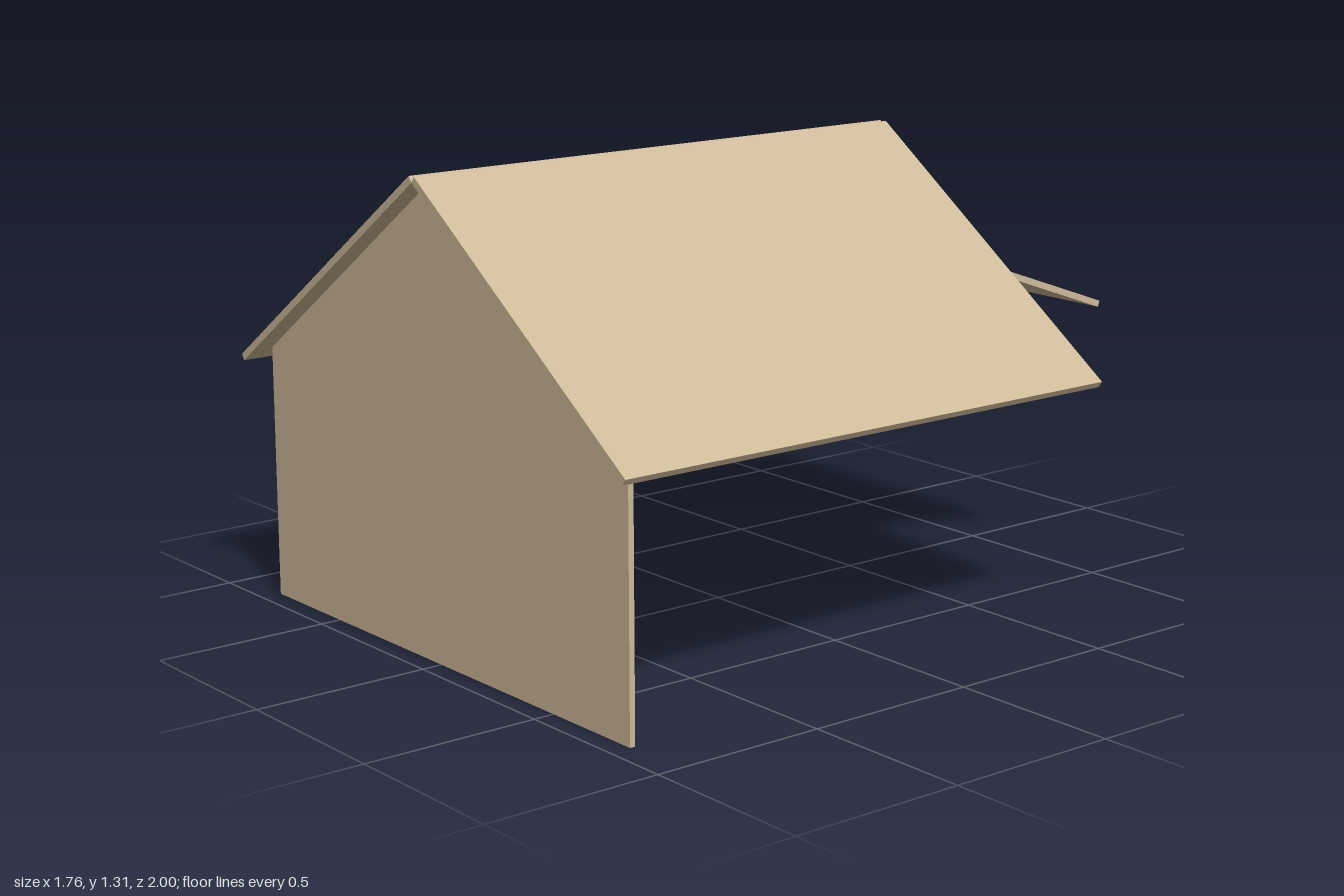
import * as THREE from 'three';

const PITCH = Math.atan2(0.61, 0.87);
const RIDGE = 1.29;      // underside height at the ridge
const THICK = 0.02;      // roof board thickness

// Flat board: outline in x/y, thickness along z
function board(points, depth, material, name) {
  const shape = new THREE.Shape(points.map(([x, y]) => new THREE.Vector2(x, y)));
  const geometry = new THREE.ExtrudeGeometry(shape, { depth, bevelEnabled: false });
  const mesh = new THREE.Mesh(geometry, material);
  mesh.name = name;
  return mesh;
}

export function createModel() {
  const group = new THREE.Group();
  group.name = 'gableShelter';
  const wood = new THREE.MeshStandardMaterial({ color: 0xcdba98 });
  wood.name = 'tan board';

  // Front gable wall, cut to fit under the roof
  const half = 0.815;
  const eave = RIDGE - half * Math.tan(PITCH);
  const wall = board(
    [[-half, 0], [half, 0], [half, eave], [0, RIDGE], [-half, eave]],
    0.016, wood, 'frontWall');
  wall.position.z = 0.925;
  group.add(wall);

  // Two sloping roof panels with square-cut ends, open notch at the ridge
  const slope = Math.hypot(0.87, 0.61);
  for (const side of [1, -1]) {
    const panel = new THREE.Mesh(new THREE.BoxGeometry(slope, THICK, 1.61), wood);
    panel.name = side > 0 ? 'leftRoofPanel' : 'rightRoofPanel';
    panel.rotation.z = -side * PITCH;
    panel.position.set(
      side * (0.435 + Math.sin(PITCH) * THICK / 2),
      RIDGE - 0.305 + Math.cos(PITCH) * THICK / 2,
      0.195);
    group.add(panel);
  }

  // Tapered rear awning, widening and dropping toward the back
  const awning = board(
    [[-0.497, 0], [0.497, 0], [0.453, 0.516], [-0.453, 0.516]],
    0.018, wood, 'rearAwning');
  awning.rotation.x = THREE.MathUtils.degToRad(70);
  awning.position.set(0, 0.808, -1);
  group.add(awning);

  return group;
}
